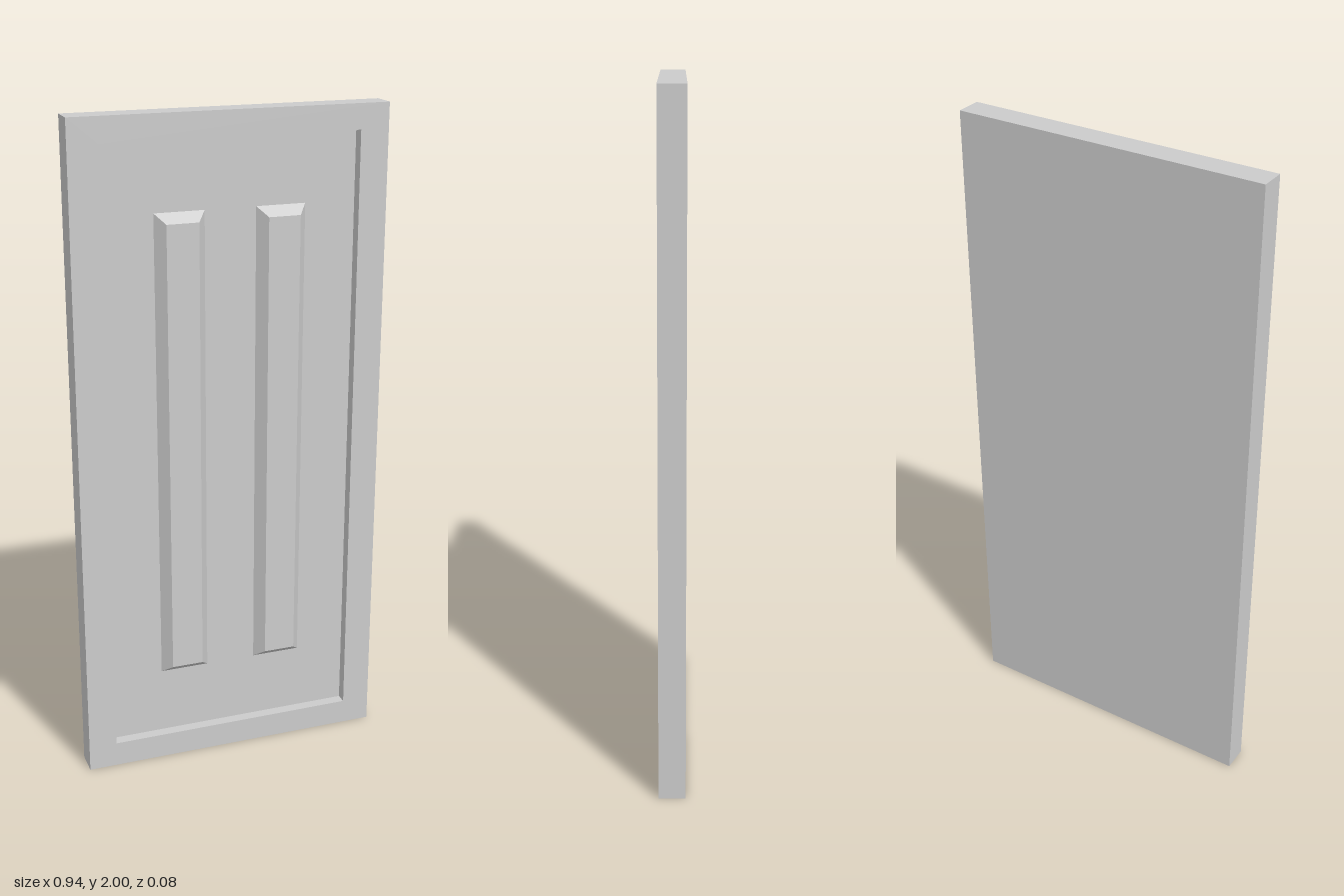
import * as THREE from 'three';

const WIDTH = 0.94, HEIGHT = 2, DEPTH = 0.078, RECESS = 0.034;
const FRONT = DEPTH / 2, FLOOR = FRONT - RECESS;

// Trace a rectangle on a Shape or Path
function rect(path, x0, y0, x1, y1) {
  path.moveTo(x0, y0);
  path.lineTo(x1, y0);
  path.lineTo(x1, y1);
  path.lineTo(x0, y1);
  path.closePath();
  return path;
}

// Box whose front face is inset on all four sides, giving sloped edges
function raisedPanel(width, height, depth, inset) {
  const geometry = new THREE.BoxGeometry(width, height, depth);
  const p = geometry.attributes.position;
  for (let i = 0; i < p.count; i++) {
    if (p.getZ(i) > 0) {
      p.setX(i, p.getX(i) - Math.sign(p.getX(i)) * inset);
      p.setY(i, p.getY(i) - Math.sign(p.getY(i)) * inset);
    }
  }
  geometry.computeVertexNormals();
  return geometry;
}

export function createModel() {
  const group = new THREE.Group();
  group.name = 'door';
  const material = new THREE.MeshStandardMaterial({ color: 0xcccccc, flatShading: true });
  const add = (name, geometry, x, y, z) => {
    const mesh = new THREE.Mesh(geometry, material);
    mesh.name = name;
    mesh.position.set(x, y, z);
    group.add(mesh);
  };

  // Solid back slab, up to the recessed floor
  const slabDepth = DEPTH - RECESS;
  add('slab', new THREE.BoxGeometry(WIDTH, HEIGHT, slabDepth), 0, HEIGHT / 2, FLOOR - slabDepth / 2);

  // Raised border around the recess
  const border = rect(new THREE.Shape(), -WIDTH / 2, 0, WIDTH / 2, HEIGHT);
  border.holes.push(rect(new THREE.Path(), -0.384, 0.077, 0.384, 1.926));
  add('frame', new THREE.ExtrudeGeometry(border, { depth: RECESS, bevelEnabled: false }), 0, 0, FLOOR);

  // Two tall panels with sloped edges, flush with the border
  const panel = raisedPanel(0.15, 1.438, RECESS, 0.027);
  add('rightPanel', panel, -0.148, 1.003, FLOOR + RECESS / 2);
  add('leftPanel', panel, 0.156, 1.003, FLOOR + RECESS / 2);

  return group;
}
